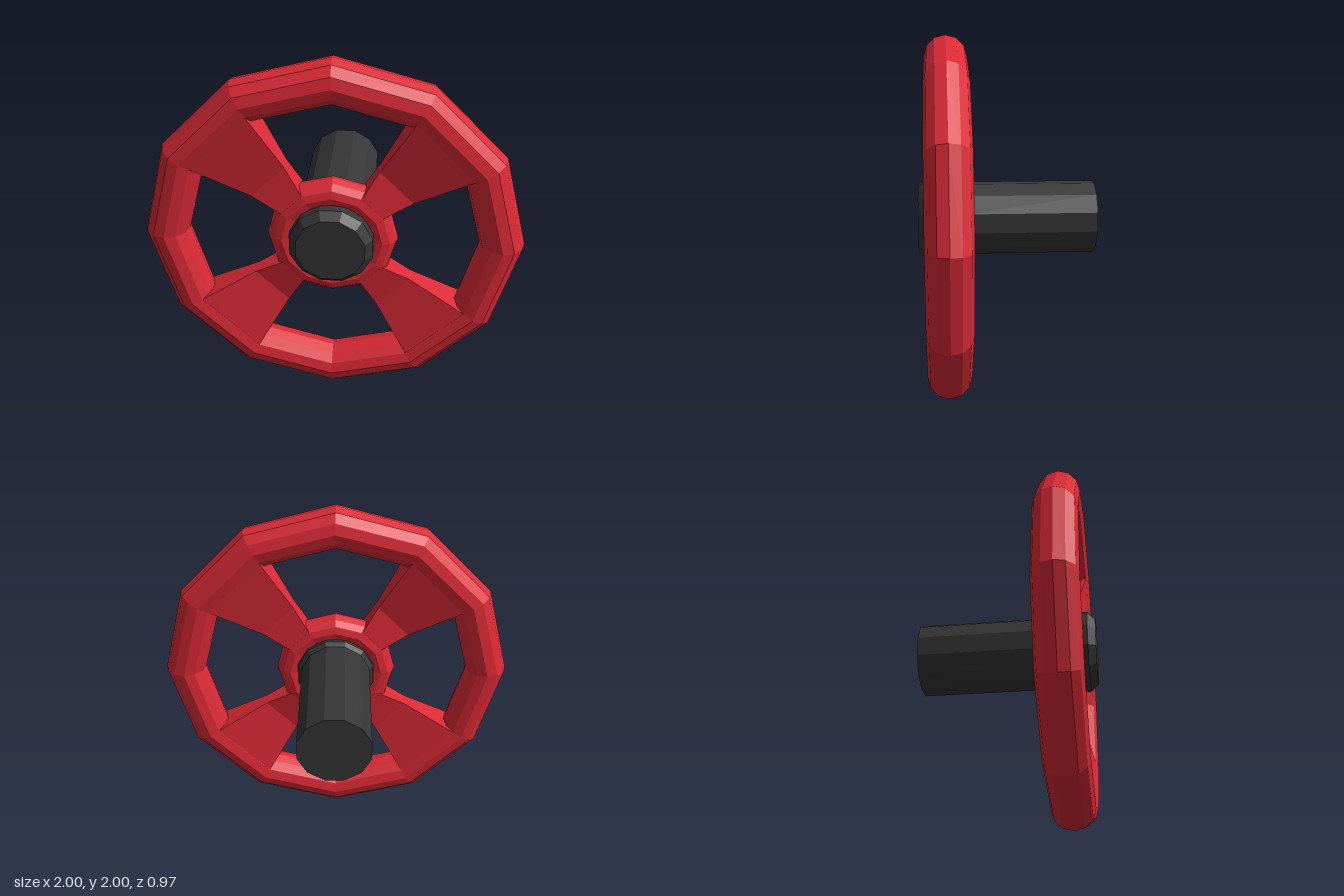
import * as THREE from 'three';

const red = new THREE.MeshStandardMaterial({ color: 0xdc2a36, flatShading: true });
const dark = new THREE.MeshStandardMaterial({ color: 0x363636, flatShading: true });
const SIDES = 12;
const STEP = (Math.PI * 2) / SIDES;

function part(name, geometry, material) {
  const mesh = new THREE.Mesh(geometry, material);
  mesh.name = name;
  return mesh;
}

// Wedge between two neighbouring radial lines; each section is [radius, half depth]
function spokeGeometry(sections) {
  const positions = [];
  const index = [];
  for (const [r, h] of sections) {
    for (const [a, z] of [[-0.5, -h], [0.5, -h], [0.5, h], [-0.5, h]]) {
      positions.push(r * Math.cos(a * STEP), r * Math.sin(a * STEP), z);
    }
  }
  for (let i = 0; i < sections.length - 1; i++) {
    for (let k = 0; k < 4; k++) {
      const a = i * 4 + k;
      const b = i * 4 + ((k + 1) % 4);
      index.push(a, b, b + 4, a, b + 4, a + 4);
    }
  }
  const geometry = new THREE.BufferGeometry();
  geometry.setAttribute('position', new THREE.Float32BufferAttribute(positions, 3));
  geometry.setIndex(index);
  geometry.computeVertexNormals();
  return geometry;
}

export function createModel() {
  const model = new THREE.Group();
  model.name = 'valveWheel';

  // Red handwheel: rim, hub ring and four waisted spokes
  const wheel = new THREE.Group();
  wheel.name = 'handwheel';
  wheel.position.set(0, 1, 0.328);
  wheel.add(part('rim', new THREE.TorusGeometry(0.883, 0.117, SIDES, SIDES), red));
  wheel.add(part('hubRing', new THREE.TorusGeometry(0.265, 0.08, SIDES, SIDES), red));
  const spoke = spokeGeometry([[0.28, 0.069], [0.305, 0.069], [0.48, 0.045], [0.825, 0.101], [0.86, 0.101]]);
  for (let i = 0; i < 4; i++) {
    const mesh = part('spoke', spoke, red);
    mesh.rotation.z = Math.PI / 4 + (i * Math.PI) / 2;
    wheel.add(mesh);
  }
  model.add(wheel);

  // Dark stem with a wider collar and chamfered cap, turned around the z axis
  const profile = [
    [0, -0.487], [0.202, -0.487], [0.202, 0.22], [0.226, 0.24],
    [0.226, 0.445], [0.185, 0.487], [0, 0.487],
  ].map(([r, z]) => new THREE.Vector2(r, z));
  const stemGeometry = new THREE.LatheGeometry(profile, SIDES, STEP / 2);
  stemGeometry.rotateX(Math.PI / 2);
  const stem = part('stem', stemGeometry, dark);
  stem.position.y = 1;
  model.add(stem);

  return model;
}
